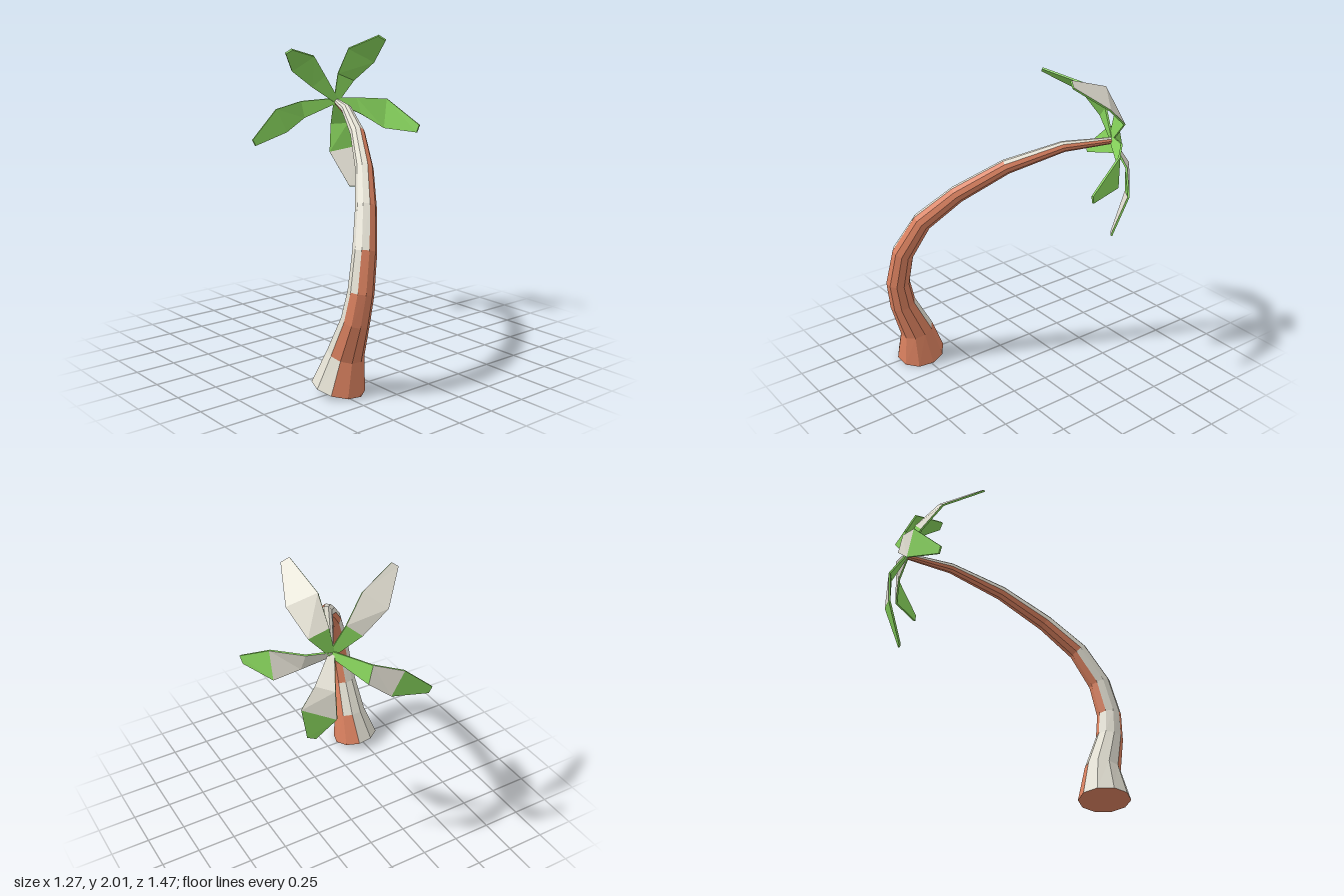
import * as THREE from 'three';

const mat = (name, color) => new THREE.MeshStandardMaterial({ name, color });

// Collects flat quads in two colour lists and makes one mesh with two groups
function facetMesh(name, materials, quads) {
  const positions = [];
  const geo = new THREE.BufferGeometry();
  [0, 1].forEach((slot) => {
    const start = positions.length / 3;
    quads.filter((q) => q.slot === slot).forEach(({ p: [a, b, c, d] }) => {
      [a, b, c, a, c, d].forEach((v) => positions.push(v.x, v.y, v.z));
    });
    geo.addGroup(start, positions.length / 3 - start, slot);
  });
  geo.setAttribute('position', new THREE.Float32BufferAttribute(positions, 3));
  geo.computeVertexNormals();
  const mesh = new THREE.Mesh(geo, materials);
  mesh.name = name;
  return mesh;
}

const V = (p) => new THREE.Vector3(...p);
const quadNormal = (a, b, c, d) =>
  c.clone().sub(a).cross(d.clone().sub(b)).normalize();

// Trunk: tapering rings square to a curved centre line
function makeTrunk(bark, snow) {
  const path = [ // x, y, z, radius
    [-0.48, 0.03, 0.5, 0.158], [-0.455, 0.235, 0.537, 0.109],
    [-0.458, 0.455, 0.628, 0.084], [-0.445, 0.625, 0.66, 0.076],
    [-0.4, 0.845, 0.637, 0.07], [-0.31, 1.065, 0.54, 0.062],
    [-0.175, 1.25, 0.365, 0.054], [-0.015, 1.42, 0.11, 0.046],
    [0.15, 1.53, -0.2, 0.034], [0.285, 1.55, -0.465, 0.021],
  ];
  const sides = 10;
  const centres = path.map((p) => V(p.slice(0, 3)));
  const u = new THREE.Vector3(1, 0, 0);
  const rings = centres.map((c, i) => {
    const t = centres[Math.min(i + 1, 9)].clone()
      .sub(centres[Math.max(i - 1, 0)]).normalize();
    u.addScaledVector(t, -u.dot(t)).normalize();
    const v = t.clone().cross(u);
    return Array.from({ length: sides }, (_, k) => {
      const a = (k / sides) * Math.PI * 2;
      return c.clone().addScaledVector(u, path[i][3] * Math.cos(a))
        .addScaledVector(v, path[i][3] * Math.sin(a));
    });
  });
  // Snow lies on the facets turned up and to the weather side
  const weather = new THREE.Vector3(-0.35, 0.87, -0.35);
  const quads = [];
  for (let i = 0; i < 9; i++) {
    for (let k = 0; k < sides; k++) {
      const n = (k + 1) % sides;
      const p = [rings[i][k], rings[i][n], rings[i + 1][n], rings[i + 1][k]];
      quads.push({ p, slot: quadNormal(...p).dot(weather) > 0.33 ? 1 : 0 });
    }
  }
  // End caps
  for (let k = 0; k < sides; k++) {
    const n = (k + 1) % sides;
    quads.push({ p: [centres[0], rings[0][n], rings[0][k], centres[0]], slot: 0 });
    quads.push({ p: [centres[9], rings[9][k], rings[9][n], centres[9]], slot: 0 });
  }
  return facetMesh('trunk', [bark, snow], quads);
}

// Frond: thin slab through three cross-sections from the crown;
// snowy holds +1 / -1 / 0 for the snow-covered side of each segment
function makeFrond(name, materials, { sections, snowy }) {
  const crown = new THREE.Vector3(0.28, 1.56, -0.472);
  const pairs = sections.map(([a, b]) => [V(a), V(b)]);
  const w = pairs[0][1].clone().sub(pairs[0][0]).setLength(0.018);
  pairs.unshift([crown.clone().sub(w), crown.clone().add(w)]);
  const segNormals = [0, 1, 2].map((i) =>
    quadNormal(pairs[i][0], pairs[i][1], pairs[i + 1][1], pairs[i + 1][0]));
  const half = 0.006;
  const layer = (s) => pairs.map((pair, i) => {
    const n = segNormals[Math.max(i - 1, 0)].clone()
      .add(segNormals[Math.min(i, 2)]).normalize();
    return pair.map((p) => p.clone().addScaledVector(n, s * half));
  });
  const top = layer(1), low = layer(-1);
  const quads = [];
  for (let i = 0; i < 3; i++) {
    const [a, b] = top[i], [d, c] = top[i + 1];
    const [e, f] = low[i], [h, g] = low[i + 1];
    quads.push({ p: [a, b, c, d], slot: snowy[i] === 1 ? 1 : 0 });
    quads.push({ p: [f, e, h, g], slot: snowy[i] === -1 ? 1 : 0 });
    quads.push({ p: [e, a, d, h], slot: 0 }, { p: [b, f, g, c], slot: 0 });
  }
  const [ta, tb] = top[3], [la, lb] = low[3];
  quads.push({ p: [ta, tb, lb, la], slot: 0 });
  return facetMesh(name, materials, quads);
}

const FRONDS = {
  frondUpperRight: {
    sections: [
      [[0.115, 1.655, -0.525], [0.2, 1.73, -0.49]],
      [[-0.055, 1.77, -0.515], [0.06, 1.865, -0.425]],
      [[-0.235, 1.895, -0.33], [-0.2, 1.92, -0.31]]],
    snowy: [0, -1, -1],
  },
  frondUpperFront: {
    sections: [
      [[0.3, 1.74, -0.48], [0.415, 1.69, -0.45]],
      [[0.31, 1.91, -0.38], [0.46, 1.82, -0.29]],
      [[0.33, 2.0, -0.1], [0.375, 1.97, -0.08]]],
    snowy: [0, -1, -1],
  },
  frondLeft: {
    sections: [
      [[0.42, 1.575, -0.43], [0.43, 1.465, -0.39]],
      [[0.565, 1.57, -0.28], [0.55, 1.37, -0.29]],
      [[0.63, 1.41, -0.025], [0.62, 1.36, -0.04]]],
    snowy: [-1, -1, 0],
  },
  frondBack: {
    sections: [
      [[0.13, 1.55, -0.665], [0.16, 1.435, -0.67]],
      [[-0.03, 1.5, -0.735], [0.04, 1.34, -0.715]],
      [[-0.235, 1.31, -0.72], [-0.215, 1.27, -0.715]]],
    snowy: [0, 1, 0],
  },
  frondHanging: {
    sections: [
      [[0.32, 1.39, -0.585], [0.4, 1.4, -0.495]],
      [[0.31, 1.195, -0.585], [0.47, 1.24, -0.46]],
      [[0.36, 0.97, -0.43], [0.4, 0.97, -0.395]]],
    snowy: [1, 1, -1],
  },
};

export function createModel() {
  const bark = mat('bark', 0xdc8260);
  const leaf = mat('leaf', 0x8ad85e);
  const snow = mat('snow', 0xe2dfd2);
  const model = new THREE.Group();
  model.name = 'palmTree';
  model.add(makeTrunk(bark, snow));
  for (const [name, spec] of Object.entries(FRONDS)) {
    model.add(makeFrond(name, [leaf, snow], spec));
  }
  return model;
}
